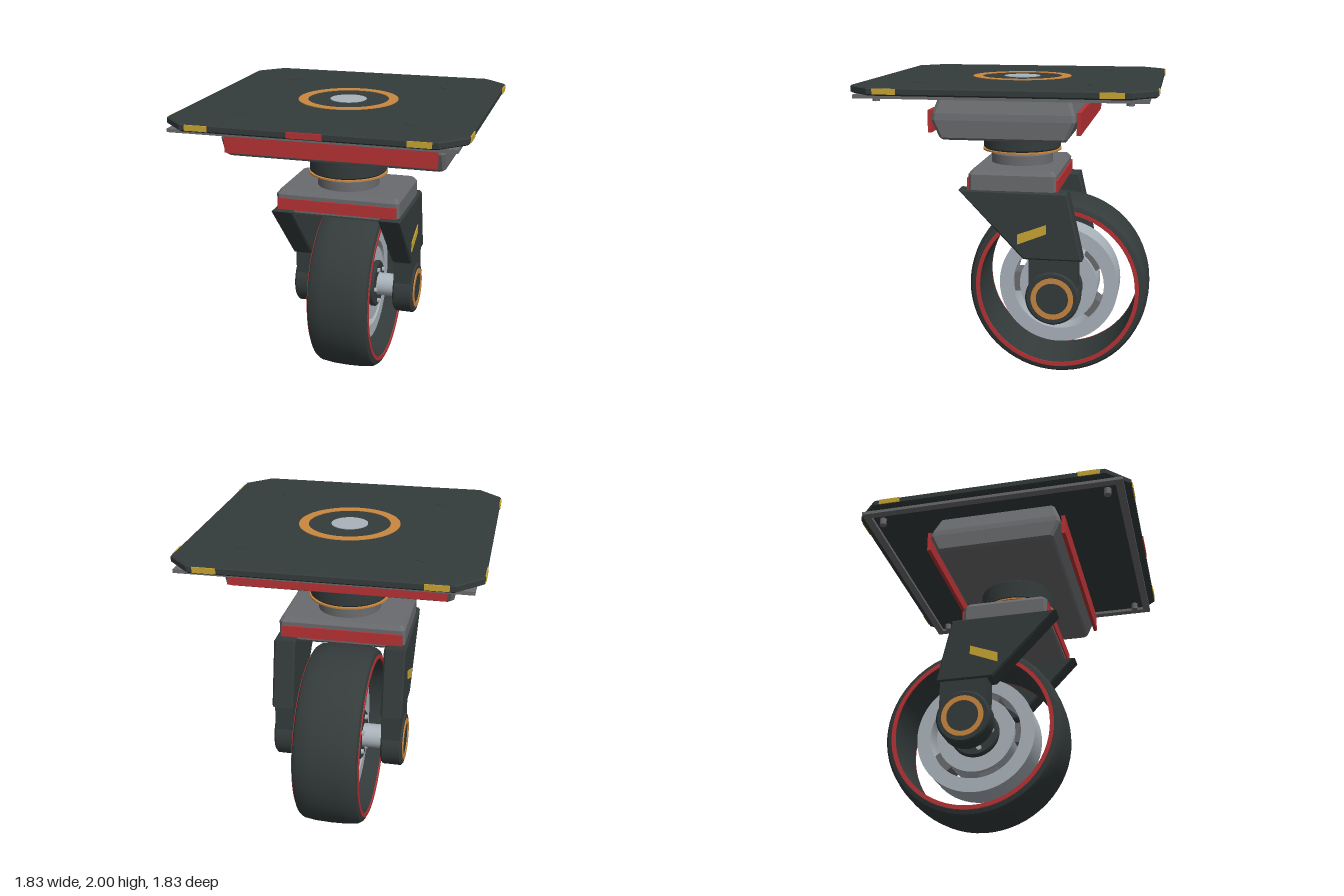
import * as THREE from 'three';
import { toCreasedNormals } from 'three/addons/utils/BufferGeometryUtils.js';
import { ConvexGeometry } from 'three/addons/geometries/ConvexGeometry.js';

const mat = (name, color, side = THREE.FrontSide) => {
  const m = new THREE.MeshStandardMaterial({ color, side });
  m.name = name;
  return m;
};

export function createModel() {
  const root = new THREE.Group();
  root.name = 'swivelCaster';
  const dark = mat('charcoal', 0x343b3b);
  const grey = mat('grey', 0x6a6b6e);
  const silver = mat('silver', 0xaab3bb);
  const red = mat('red', 0xb83235);
  const orange = mat('orange', 0xc9873f);
  const yellow = mat('yellow', 0xc9a632);

  const add = (name, geo, material, x = 0, y = 0, z = 0, parent = root) => {
    const m = new THREE.Mesh(geo, material);
    m.name = name;
    m.position.set(x, y, z);
    parent.add(m);
    return m;
  };
  const box = (w, h, d) => new THREE.BoxGeometry(w, h, d);
  const cyl = (r, h, n = 48) => new THREE.CylinderGeometry(r, r, h, n);

  // Closed profile of [radius, height] points turned around y, hard edges kept
  const turned = (pts) => {
    const p = [...pts, pts[0]].map(([r, h]) => new THREE.Vector2(r, h));
    return toCreasedNormals(new THREE.LatheGeometry(p, 64), 0.5);
  };
  const ring = (inner, outer, h) =>
    turned([[inner, -h / 2], [outer, -h / 2], [outer, h / 2], [inner, h / 2]]);

  // Cylinder-like block with small edge chamfers
  const puck = (r, h, c) => toCreasedNormals(new THREE.LatheGeometry(
    [[0, -h / 2], [r - c, -h / 2], [r, -h / 2 + c], [r, h / 2 - c], [r - c, h / 2], [0, h / 2]]
      .map(([a, b]) => new THREE.Vector2(a, b)), 48), 0.5);

  // Convex block from levels [y, halfX, halfZ] with cut corners
  const block = (levels, c) => {
    const pts = [];
    for (const [y, hx, hz] of levels)
      for (const sx of [-1, 1]) for (const sz of [-1, 1]) {
        pts.push(new THREE.Vector3(sx * (hx - c), y, sz * hz));
        pts.push(new THREE.Vector3(sx * hx, y, sz * (hz - c)));
      }
    return new ConvexGeometry(pts);
  };

  // Side-view outline [z, y] extruded along x, centred on x = 0
  const sidePlate = (pts, width, bevel = 0) => {
    const shape = new THREE.Shape(pts.map(([z, y]) => new THREE.Vector2(-z, y)));
    const g = new THREE.ExtrudeGeometry(shape, {
      depth: width - 2 * bevel, bevelEnabled: bevel > 0, bevelSize: bevel,
      bevelThickness: bevel, bevelOffset: -bevel, bevelSegments: 1,
    });
    g.translate(0, 0, -(width - 2 * bevel) / 2);
    return g.rotateY(Math.PI / 2);
  };

  // Mounting plate with cut corners
  const P = 0.91, C = 0.765;
  add('mountingPlate', block([
    [1.948, P - 0.012, P - 0.012], [1.958, P, P], [1.988, P, P], [1.996, P - 0.008, P - 0.008],
  ], P - C), dark);
  add('topRing', ring(0.26, 0.322, 0.008), orange, 0, 1.996, 0);
  add('topPin', cyl(0.117, 0.008), silver, 0, 1.996, 0);
  for (const sx of [-1, 1]) for (const sz of [-1, 1]) {
    add('plateScrew', cyl(0.047, 0.006, 24), dark, sx * 0.537, 1.995, sz * 0.537);
    add('cornerBolt', cyl(0.024, 0.048, 8), grey, sx * 0.755, 1.926, sz * 0.755);
    // Edge markers on all four sides
    add('edgeMarker', box(0.14, 0.034, 0.008), yellow, sx * 0.66, 1.974, sz * 0.911);
    add('edgeMarker', box(0.008, 0.034, 0.14), yellow, sx * 0.911, 1.974, sz * 0.66);
  }
  add('frontMarker', box(0.21, 0.036, 0.009), red, 0, 1.974, 0.911);

  // Thin frame below the plate
  for (const s of [-1, 1]) {
    add('underFrameLong', box(1.73, 0.022, 0.05), grey, 0, 1.938, s * 0.84);
    add('underFrameShort', box(0.05, 0.022, 1.63), grey, s * 0.84, 1.938, 0);
  }

  // Swivel housing with red side strips
  add('swivelHousing', block([
    [1.67, 0.695, 0.375], [1.685, 0.715, 0.388], [1.79, 0.717, 0.435],
    [1.83, 0.71, 0.43], [1.95, 0.66, 0.39],
  ], 0.02), grey);
  for (const s of [-1, 1])
    add('housingStrip', box(1.36, 0.135, 0.024), red, 0, 1.777, s * 0.451);

  // Swivel bearing and neck
  add('bearing', puck(0.256, 0.147, 0.01), dark, 0, 1.599, 0);
  add('bearingRing', ring(0.2, 0.262, 0.01), orange, 0, 1.52, 0);
  add('neck', puck(0.205, 0.09, 0.008), grey, 0, 1.457, 0);

  // Fork crown
  add('forkCrown', block([
    [1.275, 0.39, 0.27], [1.29, 0.41, 0.283], [1.405, 0.41, 0.283], [1.432, 0.39, 0.262],
  ], 0.02), grey);
  for (const s of [-1, 1])
    add('crownStrip', box(0.79, 0.075, 0.012), red, 0, 1.343, s * 0.287);

  // Fork legs, mirrored
  const AY = 0.61, AZ = -0.265;
  const axial = (name, geo, material, x) => {
    add(name, geo, material, x, AY, AZ).rotation.z = -Math.PI / 2;
  };
  for (const s of [-1, 1]) {
    add('forkLeg', sidePlate(
      [[0.345, 1.305], [-0.355, 1.305], [-0.455, 0.865], [-0.075, 0.865]], 0.14, 0.012), dark, s * 0.358);
    add('forkStrut', sidePlate(
      [[-0.11, 0.9], [-0.425, 0.9], [-0.425, 0.66], [-0.11, 0.66]], 0.125), dark, s * 0.354);
    add('legMarker', sidePlate(
      [[-0.04, 1.03], [-0.225, 1.1], [-0.225, 1.04], [-0.04, 0.965]], 0.008), yellow, s * 0.43);
    axial('axleBoss', puck(0.177, 0.14, 0.012), dark, s * 0.358);
    axial('bossRing', ring(0.105, 0.138, 0.01), orange, s * 0.43);
  }

  // Wheel: hollow tyre, red side rings, rim, spokes, hub and axle
  axial('tyre', turned([
    [0.52, -0.205], [0.55, -0.21], [0.575, -0.2], [0.592, -0.175], [0.602, -0.1], [0.605, 0],
    [0.602, 0.1], [0.592, 0.175], [0.575, 0.2], [0.55, 0.21], [0.52, 0.205],
  ]), dark, 0);
  for (const s of [-1, 1]) axial('tyreRing', ring(0.52, 0.547, 0.009), red, s * 0.21);
  axial('outerRim', ring(0.308, 0.402, 0.23), silver, 0);
  axial('innerRim', ring(0.16, 0.263, 0.23), silver, 0);
  axial('hub', puck(0.165, 0.3, 0.01), dark, 0);
  axial('axle', cyl(0.08, 0.62, 32), silver, 0);
  for (let i = 0; i < 5; i++) {
    const a = (i / 5) * Math.PI * 2;
    const spoke = add('spoke', box(0.16, 0.135, 0.055), grey,
      0, AY + 0.286 * Math.sin(a), AZ + 0.286 * Math.cos(a));
    spoke.rotation.x = -a;
    for (const s of [-1, 1]) {
      const bolt = add('hubBolt', cyl(0.017, 0.02, 8), silver,
        s * 0.157, AY + 0.122 * Math.sin(a), AZ + 0.122 * Math.cos(a));
      bolt.rotation.z = Math.PI / 2;
    }
  }
  return root;
}
